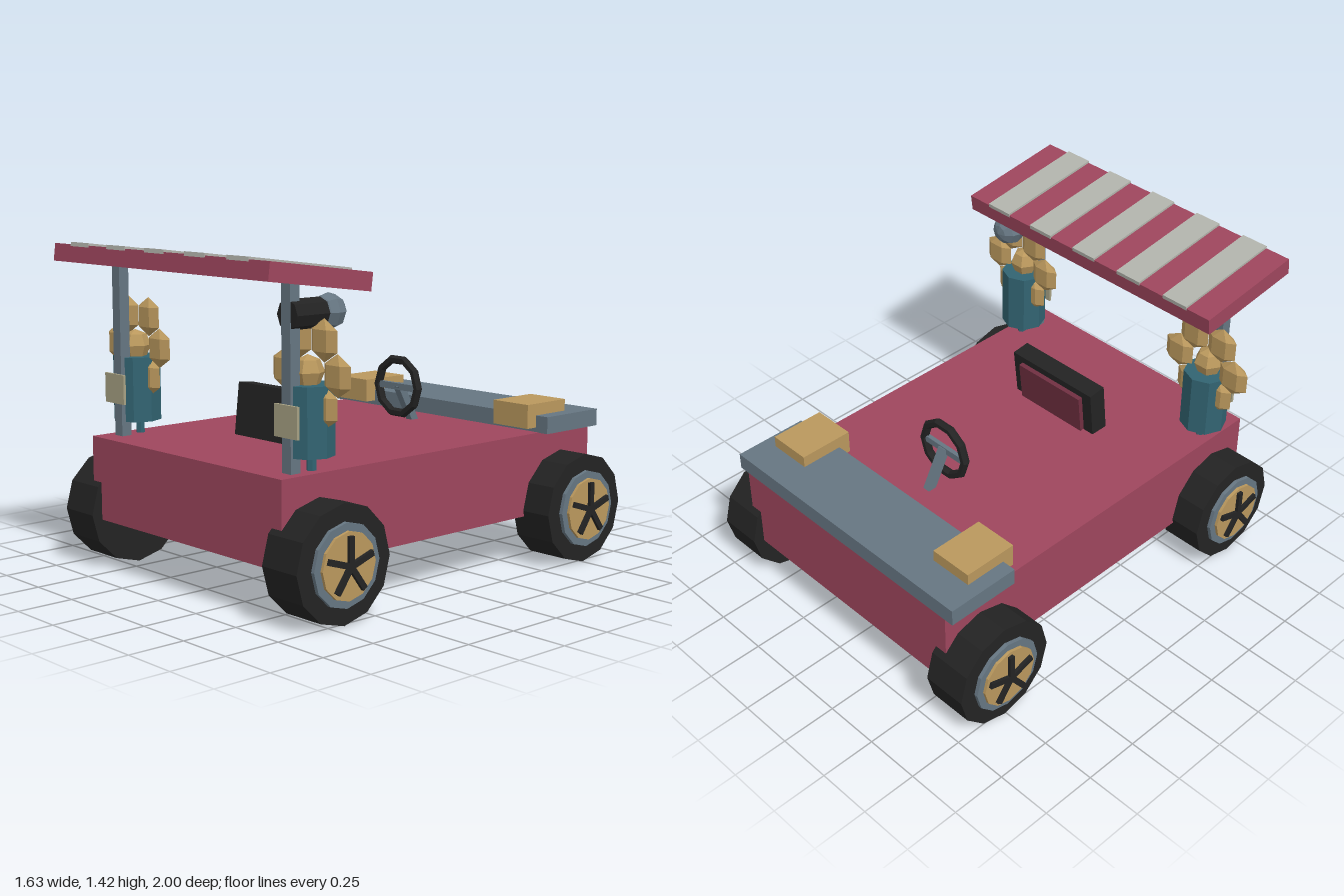
import * as THREE from 'three';

const mat = (name, color, extra = {}) => {
  const m = new THREE.MeshStandardMaterial({ color, flatShading: true, ...extra });
  m.name = name;
  return m;
};

export function createModel() {
  const red = mat('red paint', 0x9e465d);
  const maroon = mat('maroon cushion', 0x702f41);
  const black = mat('black rubber', 0x232323);
  const steel = mat('grey steel', 0x667682);
  const gold = mat('gold', 0xba985d);
  const teal = mat('teal', 0x326472);
  const cream = mat('pale stripe', 0xb2b4ac);
  const tan = mat('tan label', 0xa8a284);

  const model = new THREE.Group();
  model.name = 'buggy';

  const add = (parent, name, geo, material, x, y, z) => {
    const m = new THREE.Mesh(geo, material);
    m.name = name;
    m.position.set(x, y, z);
    parent.add(m);
    return m;
  };
  const box = (parent, name, material, w, h, d, x, y, z) =>
    add(parent, name, new THREE.BoxGeometry(w, h, d), material, x, y, z);
  const group = (name, x, y, z) => {
    const g = new THREE.Group();
    g.name = name;
    g.position.set(x, y, z);
    model.add(g);
    return g;
  };

  // Body, rear deck and tail boxes
  box(model, 'body', red, 1.256, 0.362, 1.82, 0, 0.398, -0.035);
  box(model, 'rearDeck', steel, 1.35, 0.075, 0.34, 0, 0.615, -0.778);
  for (const s of [-1, 1]) box(model, 'tailBox', gold, 0.2, 0.106, 0.25, s * 0.51, 0.652, -0.677);

  // Wheels: tyre, rim, hub disc and five spokes, built along +x
  for (const s of [-1, 1]) for (const z of [0.683, -0.756]) {
    const wheel = group('wheel', s * 0.67, 0.2425, z);
    if (s < 0) wheel.rotation.y = Math.PI;
    const disc = (name, material, r, x0, x1) =>
      add(wheel, name, new THREE.CylinderGeometry(r, r, x1 - x0, 12).rotateZ(Math.PI / 2),
        material, (x0 + x1) / 2, 0, 0);
    disc('tyre', black, 0.2425, -0.1, 0.1);
    disc('rim', steel, 0.17, 0.08, 0.117);
    disc('hubDisc', gold, 0.138, 0.1, 0.13);
    for (let i = 0; i < 5; i++) {
      const geo = new THREE.BoxGeometry(0.03, 0.12, 0.025).translate(0, 0.06, 0);
      add(wheel, 'spoke', geo, black, 0.13, 0, 0).rotation.x = i * Math.PI * 2 / 5;
    }
  }

  // Leaning seat back with cushion
  const seat = group('seat', 0, 0.69, 0.345);
  seat.rotation.x = -0.11;
  box(seat, 'seatBack', black, 0.476, 0.23, 0.086, 0, 0, 0);
  box(seat, 'seatCushion', maroon, 0.37, 0.185, 0.03, 0, -0.01, -0.05);

  // Steering wheel, crossbar and column
  add(model, 'steeringWheel', new THREE.TorusGeometry(0.126, 0.02, 6, 10), black, 0, 0.74, -0.36);
  box(model, 'steeringCrossbar', steel, 0.24, 0.03, 0.02, 0, 0.74, -0.36);
  box(model, 'steeringColumn', steel, 0.036, 0.23, 0.036, 0, 0.645, -0.418).rotation.x = 0.49;

  // Tilted striped roof
  const roof = group('roof', 0, 1.343, 0.736);
  roof.rotation.x = -0.13;
  box(roof, 'roofPanel', red, 1.41, 0.075, 0.52, 0, 0, 0);
  for (let i = -2; i <= 2; i++)
    box(roof, 'roofStripe', cream, 0.128, 0.018, 0.524, i * 0.26, 0.0385, 0);

  // Posts, each carrying a label, a canister and a flower
  for (const s of [-1, 1]) {
    const x = s * 0.565;
    box(model, 'roofPost', steel, 0.052, 0.74, 0.048, s * 0.556, 0.945, 0.764);
    box(model, 'label', tan, 0.135, 0.128, 0.012, x, 0.785, 0.794);
    add(model, 'canister', new THREE.CylinderGeometry(0.103, 0.103, 0.28, 8), teal, x, 0.78, 0.68);
    add(model, 'stem', new THREE.CylinderGeometry(0.02, 0.02, 0.42, 6), teal, x, 0.785, 0.667);
    for (let i = 0; i < 6; i++) {
      const a = i * Math.PI / 3;
      add(model, 'petal', new THREE.SphereGeometry(0.085, 6, 3).scale(1, 1, 0.4), gold,
        x + 0.15 * Math.cos(a), 0.963 + 0.15 * Math.sin(a), 0.667);
    }
    add(model, 'flowerCentre', new THREE.SphereGeometry(0.068, 6, 4), gold, x, 0.967, 0.685);
  }

  // Lamp under the roof on one post
  add(model, 'lampBody', new THREE.CylinderGeometry(0.06, 0.06, 0.19, 8).rotateX(Math.PI / 2),
    black, 0.562, 1.192, 0.69);
  add(model, 'lampHead', new THREE.SphereGeometry(0.074, 8, 6).rotateX(Math.PI / 2),
    steel, 0.562, 1.192, 0.578);

  return model;
}
